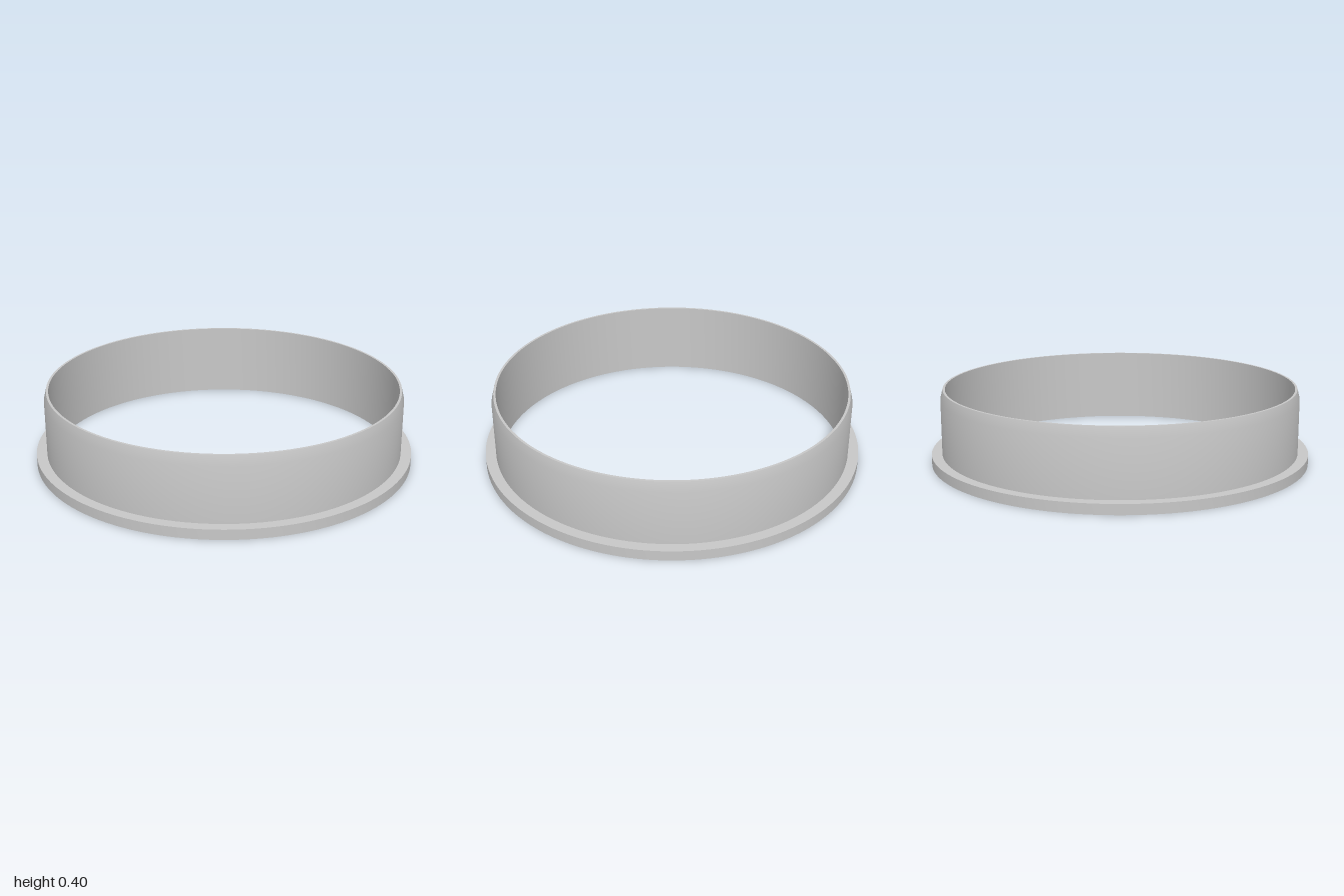
import * as THREE from 'three';
import { toCreasedNormals } from 'three/addons/utils/BufferGeometryUtils.js';

const INNER = 0.92, WALL = 0.945, RIM = 0.932, FLANGE = 1;
const FLANGE_TOP = 0.053, TAPER = 0.345, TOP = 0.396;

// Revolve a profile of [radius, height] points, keeping its corners sharp
function ring(name, profile, material) {
  const points = profile.map(([r, y]) => new THREE.Vector2(r, y));
  const geometry = toCreasedNormals(new THREE.LatheGeometry(points, 128), Math.PI / 6);
  const mesh = new THREE.Mesh(geometry, material);
  mesh.name = name;
  return mesh;
}

export function createModel() {
  const group = new THREE.Group();
  group.name = 'flangedRing';
  const grey = new THREE.MeshStandardMaterial({ color: 0xc8c8c8 });
  grey.name = 'grey';

  // Flat base flange: underside, outer edge and ledge
  group.add(ring('flange', [
    [INNER, 0], [FLANGE, 0], [FLANGE, FLANGE_TOP], [WALL, FLANGE_TOP],
  ], grey));

  // Thin upright sleeve: outer wall, tapered lip, top rim and bore
  group.add(ring('sleeve', [
    [WALL, FLANGE_TOP], [WALL, TAPER], [RIM, TOP], [INNER, TOP], [INNER, 0],
  ], grey));

  return group;
}
